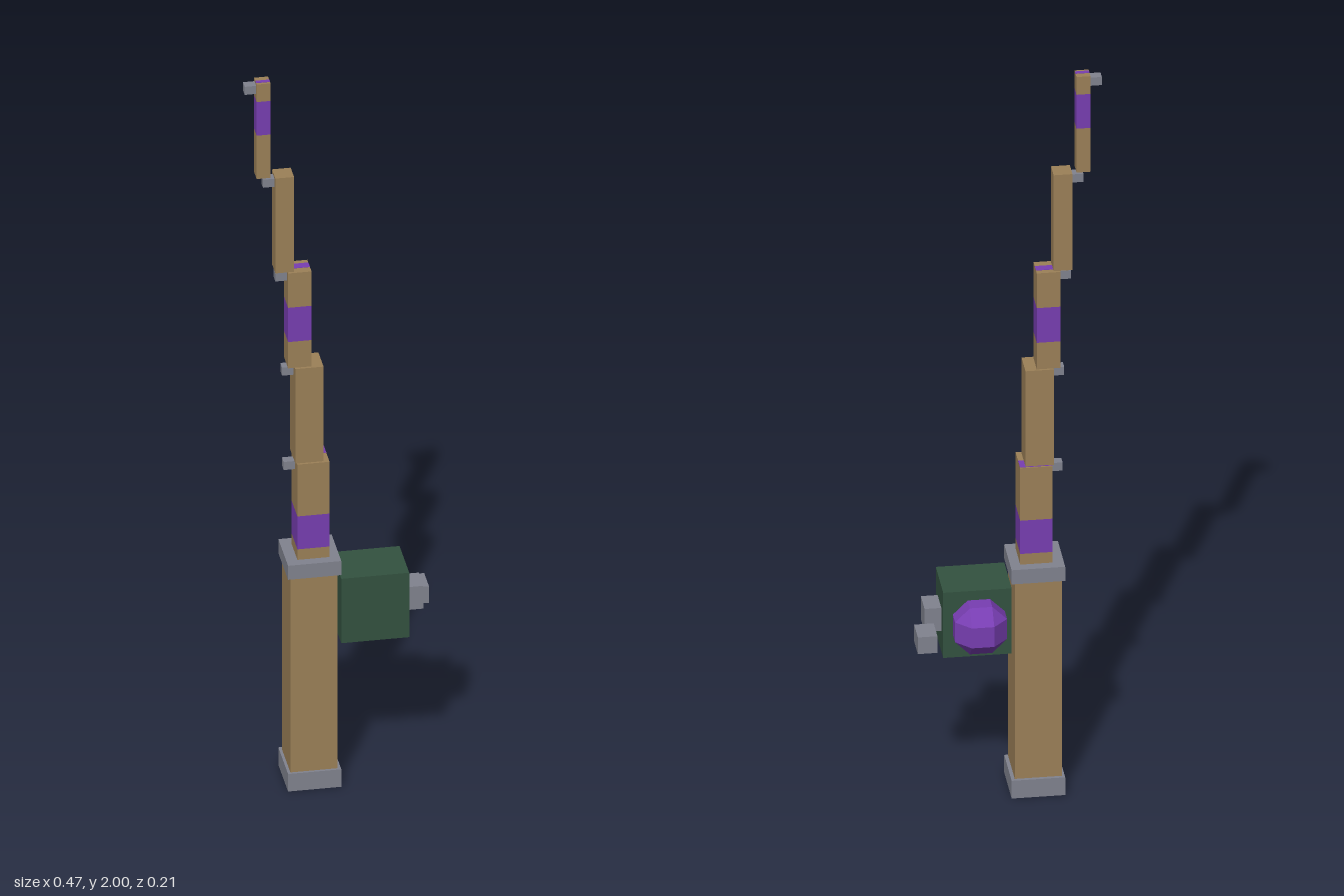
import * as THREE from 'three';
import { ConvexGeometry } from 'three/addons/geometries/ConvexGeometry.js';

const paint = (name, color) => {
  const m = new THREE.MeshStandardMaterial({ color });
  m.name = name;
  return m;
};

export function createModel() {
  const wood = paint('tan wood', 0x9c8158);
  const metal = paint('grey metal', 0x81838f);
  const green = paint('dark green', 0x335240);
  const purple = paint('purple', 0x783eb2);

  const model = new THREE.Group();
  model.name = 'fishingRod';

  // Box given by its limits on each axis
  const box = (name, material, [x0, x1], [y0, y1], [z0, z1], parent = model) => {
    const mesh = new THREE.Mesh(new THREE.BoxGeometry(x1 - x0, y1 - y0, z1 - z0), material);
    mesh.position.set((x0 + x1) / 2, (y0 + y1) / 2, (z0 + z1) / 2);
    mesh.name = name;
    parent.add(mesh);
  };

  // Handle with a metal cap at each end
  const capX = [-0.137, -0.003], capZ = [-0.03, 0.105];
  box('bottomCap', metal, capX, [0, 0.05], capZ);
  box('grip', wood, [-0.13, -0.012], [0.05, 0.605], [-0.021, 0.098]);
  box('topCap', metal, capX, [0.605, 0.645], capZ);

  // Stepped rod; banded pieces also have a painted stripe across the top
  const segments = [
    { x: [-0.109, -0.028], y: [0.645, 0.917], z: [-0.004, 0.08], band: [0.675, 0.769], stripe: [0, 0.034] },
    { x: [-0.113, -0.042], y: [0.917, 1.187], z: [0.002, 0.074] },
    { x: [-0.13, -0.071], y: [1.187, 1.458], z: [0.008, 0.067], band: [1.262, 1.36], stripe: [0.023, 0.045] },
    { x: [-0.161, -0.114], y: [1.458, 1.729], z: [0.014, 0.061] },
    { x: [-0.207, -0.172], y: [1.729, 1.999], z: [0.02, 0.055], band: [1.853, 1.949], stripe: [0.037, 0.048] },
  ];
  segments.forEach(({ x, y, z, band, stripe }, i) => {
    const piece = new THREE.Group();
    piece.name = `rodSegment${i + 1}`;
    model.add(piece);
    if (band) {
      box('lowerWood', wood, x, [y[0], band[0]], z, piece);
      box('band', purple, x, band, z, piece);
      box('upperWood', wood, x, [band[1], y[1]], z, piece);
      box('topStripe', purple, x, [y[1] - 0.001, y[1] + 0.001], stripe, piece);
    } else {
      box('wood', wood, x, y, z, piece);
    }
    // Line guide near the top of the segment
    box('lineGuide', metal, [x[0] - 0.029, x[0]], [y[1] - 0.03, y[1] - 0.007], [0.025, 0.049], piece);
  });

  // Reel body and crank
  box('reelBody', green, [-0.003, 0.168], [0.41, 0.594], [-0.03, 0.105]);
  box('crankArm', metal, [0.168, 0.21], [0.468, 0.533], [0.004, 0.071]);
  box('crankHandle', metal, [0.187, 0.236], [0.444, 0.491], [-0.063, 0.004]);

  // Faceted ball set into the back of the reel
  const far = 0.065, near = 0.028, points = [];
  for (const sx of [-1, 1]) for (const sy of [-1, 1]) for (const sz of [-1, 1]) {
    points.push(
      new THREE.Vector3(sx * far, sy * near, sz * near),
      new THREE.Vector3(sx * near, sy * far, sz * near),
      new THREE.Vector3(sx * near, sy * near, sz * far),
    );
  }
  const ball = new THREE.Mesh(new ConvexGeometry(points), purple);
  ball.position.set(0.079, 0.503, -0.043);
  ball.name = 'reelBall';
  model.add(ball);

  return model;
}
